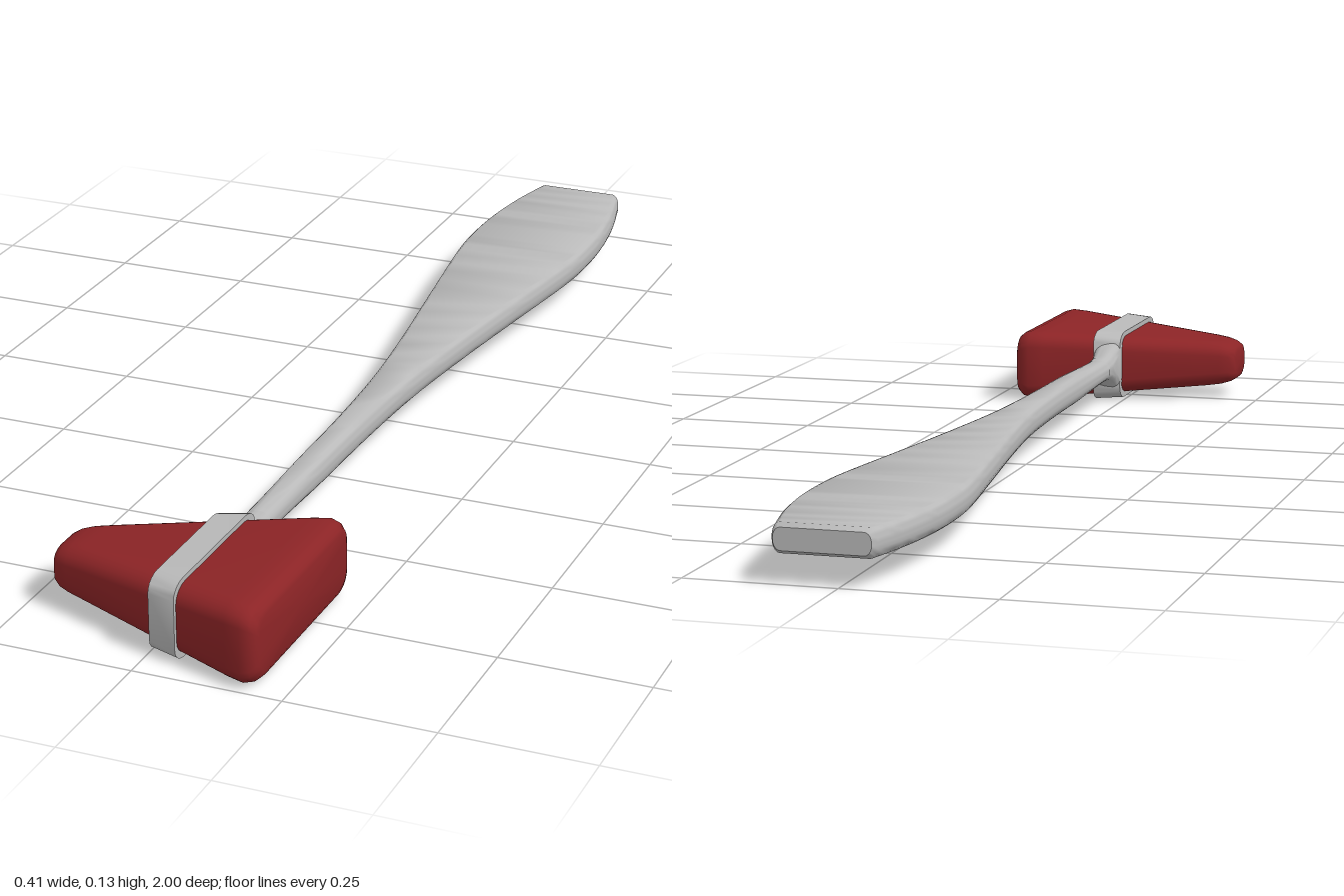
import * as THREE from 'three';
import { toCreasedNormals } from 'three/addons/utils/BufferGeometryUtils.js';

const ARC = 5; // segments per rounded corner

// Rounded rectangle ring, counter-clockwise: half sizes hu, hv and corner radii ru, rv
function ring({ hu, hv, ru, rv }) {
  const points = [];
  [[1, 1], [-1, 1], [-1, -1], [1, -1]].forEach(([su, sv], q) => {
    for (let k = 0; k <= ARC; k++) {
      const a = (q + k / ARC) * Math.PI / 2;
      points.push([su * (hu - ru) + ru * Math.cos(a), sv * (hv - rv) + rv * Math.sin(a)]);
    }
  });
  return points;
}

// Skin a list of sections, with flat caps; place(u, v, section) gives the 3D point
function loft(sections, place, crease) {
  const positions = [], index = [];
  const n = 4 * (ARC + 1), last = sections.length - 1;
  sections.forEach((s) => ring(s).forEach(([u, v]) => positions.push(...place(u, v, s))));
  for (let i = 0; i < last; i++) {
    for (let j = 0; j < n; j++) {
      const k = (j + 1) % n;
      const a = i * n + j, b = i * n + k, c = b + n, d = a + n;
      index.push(a, b, c, a, c, d);
    }
  }
  positions.push(...place(0, 0, sections[0]), ...place(0, 0, sections[last]));
  const start = (last + 1) * n;
  for (let j = 0; j < n; j++) {
    const k = (j + 1) % n;
    index.push(start, k, j, start + 1, last * n + j, last * n + k);
  }
  const geometry = new THREE.BufferGeometry();
  geometry.setAttribute('position', new THREE.Float32BufferAttribute(positions, 3));
  geometry.setIndex(index);
  return toCreasedNormals(geometry, crease);
}

export function createModel() {
  const rubber = new THREE.MeshStandardMaterial({ color: 0x8c2426 });
  const metal = new THREE.MeshStandardMaterial({ color: 0xb9b9b9 });
  rubber.name = 'red rubber';
  metal.name = 'grey metal';

  const group = new THREE.Group();
  const add = (name, geometry, material) => {
    const mesh = new THREE.Mesh(geometry, material);
    mesh.name = name;
    group.add(mesh);
  };
  const acrossX = (u, v, s) => [s.at, 0.07 + v, 0.81 - u];
  const alongZ = (u, v, s) => [s.cx + u, 0.073 + v, s.at];

  // Wedge-shaped rubber head with rounded ends: x, half depth, half height
  const head = [
    [-0.205, 0.038, 0.024], [-0.202, 0.047, 0.031], [-0.192, 0.055, 0.037],
    [-0.175, 0.061, 0.042], [-0.15, 0.069, 0.045], [0.15, 0.177, 0.065],
    [0.178, 0.185, 0.066], [0.193, 0.183, 0.062], [0.202, 0.176, 0.055], [0.205, 0.168, 0.048],
  ].map(([at, hu, hv]) => ({ at, hu, hv, ru: Math.min(0.035, hu * 0.6), rv: Math.min(0.028, hv * 0.6) }));
  add('head', loft(head, acrossX, 0.7), rubber);

  // Metal band around the head, following its taper
  const band = [[0.005, 0.136, 0.0645], [0.055, 0.15, 0.067]]
    .map(([at, hu, hv]) => ({ at, hu, hv, ru: 0.035, rv: 0.025 }));
  add('band', loft(band, acrossX, 0.7), metal);

  // Flat paddle handle narrowing to a slim stem: z, half width
  const widths = new THREE.SplineCurve([
    [-0.99, 0.084], [-0.9, 0.104], [-0.8, 0.117], [-0.7, 0.12], [-0.6, 0.114], [-0.4, 0.087],
    [-0.2, 0.06], [0, 0.038], [0.2, 0.028], [0.4, 0.025], [0.6, 0.023],
  ].map(([z, w]) => new THREE.Vector2(z, w)));
  const handle = [{ at: -1, cx: 0.025, hu: 0.078, hv: 0.018, ru: 0.012, rv: 0.016 }];
  for (let i = 0; i <= 50; i++) {
    const p = widths.getPoint(i / 50);
    const slim = THREE.MathUtils.smoothstep(p.x, 0.35, 0.6);
    const cx = 0.024 + 0.004 * THREE.MathUtils.smoothstep(p.x, -0.4, 0.4);
    handle.push({ at: p.x, cx, hu: p.y, hv: 0.024 - 0.003 * slim, ru: 0.013 + 0.006 * slim, rv: 0.022 - 0.003 * slim });
  }
  add('handle', loft(handle, alongZ, 0.8), metal);

  // Neck flaring from the stem into the band
  const neck = [[0.59, 0.023, 0.021], [0.63, 0.023, 0.024], [0.65, 0.024, 0.031], [0.665, 0.025, 0.04], [0.69, 0.025, 0.055]]
    .map(([at, hu, hv]) => ({ at, cx: 0.029, hu, hv, ru: 0.019, rv: 0.019 }));
  add('neck', loft(neck, alongZ, 0.8), metal);

  return group;
}
